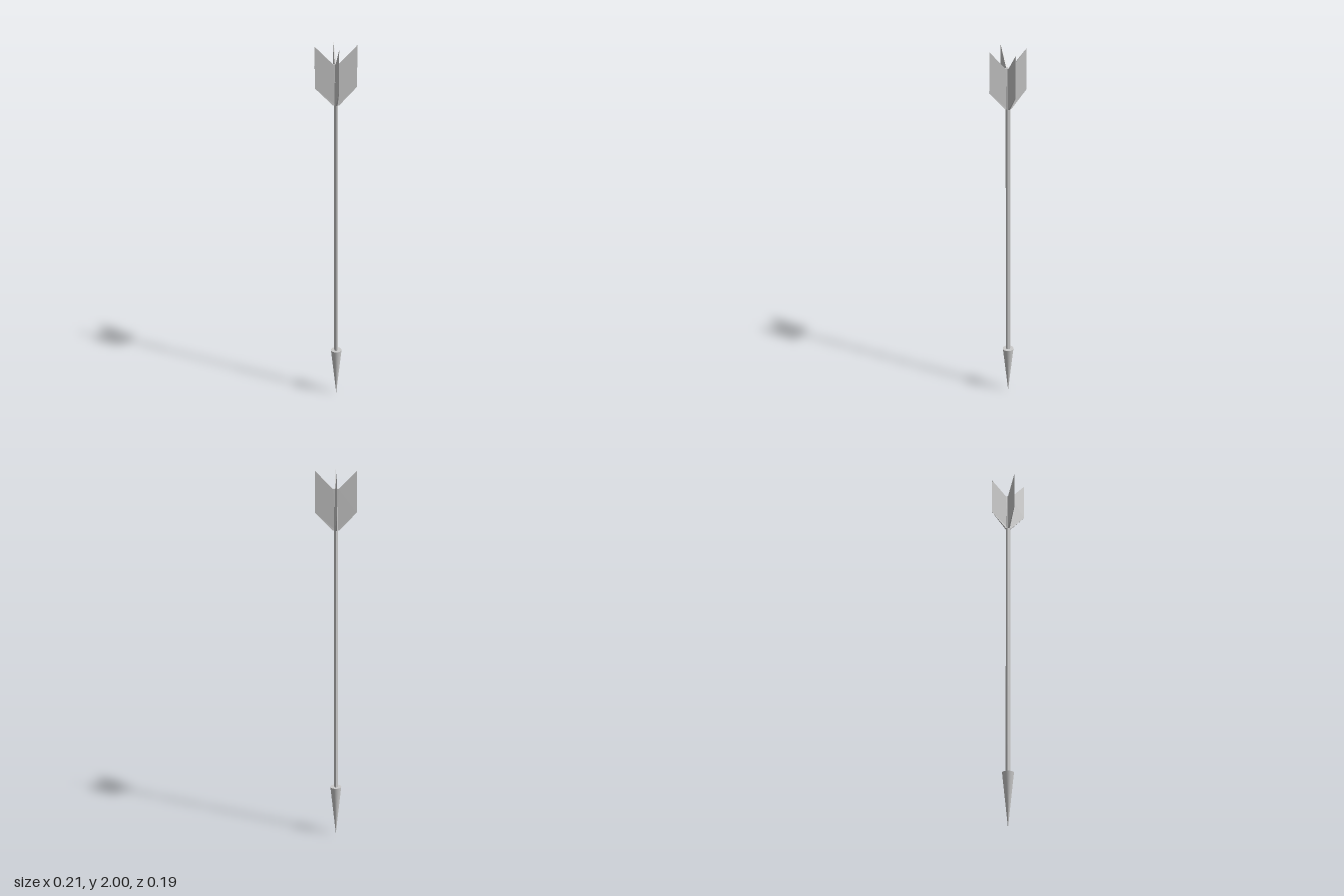
import * as THREE from 'three';

const grey = new THREE.MeshStandardMaterial({ color: 0xcccccc, side: THREE.DoubleSide, flatShading: true });
const smoothGrey = new THREE.MeshStandardMaterial({ color: 0xcccccc });

function add(group, name, geometry, material) {
  const mesh = new THREE.Mesh(geometry, material);
  mesh.name = name;
  group.add(mesh);
  return mesh;
}

// Swept vane: thick at the root, tapering to a thin outer edge
function vaneGeometry(reach) {
  const shape = new THREE.Shape([
    [0, 1.70], [0.016, 1.70], [reach, 1.79], [reach, 2.0], [0.016, 1.91], [0, 1.91],
  ].map(([x, y]) => new THREE.Vector2(x, y)));
  const geometry = new THREE.ExtrudeGeometry(shape, { depth: 1, bevelEnabled: false });
  const p = geometry.attributes.position;
  for (let i = 0; i < p.count; i++) {
    const t = Math.max(0, (p.getX(i) - 0.016) / (reach - 0.016));
    p.setZ(i, (p.getZ(i) - 0.5) * THREE.MathUtils.lerp(0.01, 0.001, t));
  }
  geometry.computeVertexNormals();
  return geometry;
}

export function createModel() {
  const arrow = new THREE.Group();
  arrow.name = 'arrow';

  // Slender faceted shaft, slightly deeper than wide
  const shaft = add(arrow, 'shaft', new THREE.CylinderGeometry(0.013, 0.013, 1.54, 6), grey);
  shaft.scale.x = 0.85;
  shaft.position.y = 1.05;

  // Conical point aimed downward, with a flat shoulder
  const head = add(arrow, 'arrowhead', new THREE.CylinderGeometry(0.03, 0, 0.283, 32), smoothGrey);
  head.position.set(0.001, 0.1415, 0);

  // Four vanes around the tail
  for (let i = 0; i < 4; i++) {
    const vane = add(arrow, 'vane' + (i + 1), vaneGeometry(i % 2 ? 0.096 : 0.106), grey);
    vane.rotation.y = i * Math.PI / 2;
  }
  return arrow;
}
